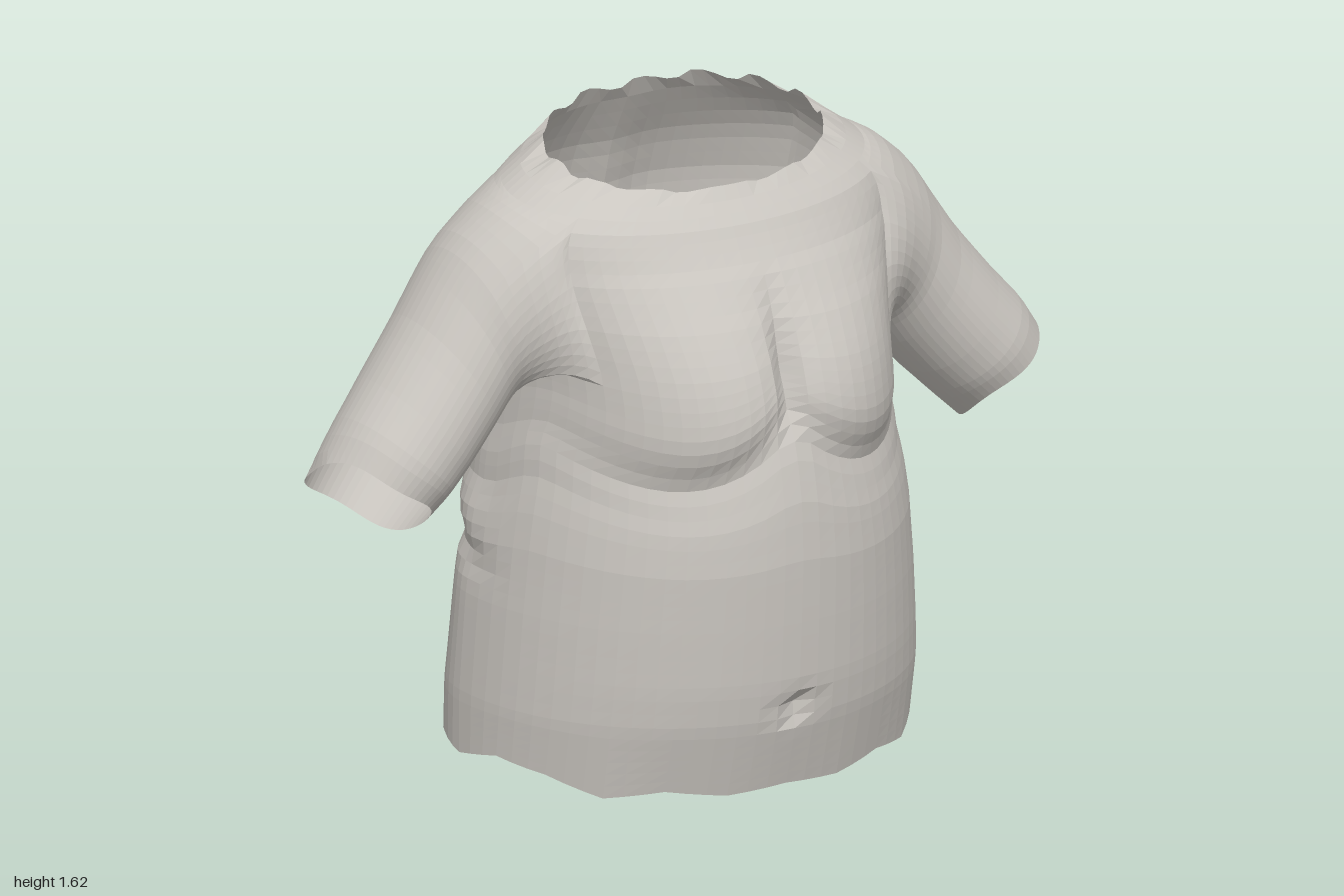
import * as THREE from 'three';

const skin = new THREE.MeshStandardMaterial({ color: 0xcac6c0, flatShading: true, side: THREE.DoubleSide });
skin.name = 'pale grey skin';

const { smoothstep, lerp } = THREE.MathUtils;
const bell = (d, w) => Math.exp(-((d / w) ** 2));

// Body stations: height, half width, front z, back z, backward tilt
const STATIONS = [
  [0.00, 0.60, 0.42, -0.51, 0], [0.20, 0.60, 0.47, -0.495, 0], [0.30, 0.593, 0.485, -0.475, 0],
  [0.45, 0.582, 0.495, -0.45, 0], [0.60, 0.565, 0.503, -0.44, 0], [0.70, 0.545, 0.497, -0.45, 0],
  [0.80, 0.525, 0.47, -0.455, 0], [0.88, 0.505, 0.425, -0.46, 0], [1.00, 0.495, 0.405, -0.47, 0],
  [1.10, 0.50, 0.39, -0.48, 0], [1.20, 0.52, 0.365, -0.485, 0], [1.30, 0.54, 0.325, -0.47, 0],
  [1.40, 0.54, 0.27, -0.425, 0.05], [1.45, 0.52, 0.25, -0.385, 0.10], [1.50, 0.47, 0.22, -0.345, 0.16],
  [1.555, 0.37, 0.185, -0.305, 0.24],
];

// Arm rings: upper x,y, lower x,y, centre z, half depth
const ARM = [
  [0.49, 1.49, 0.49, 1.06, -0.06, 0.23], [0.57, 1.45, 0.50, 1.03, -0.075, 0.23],
  [0.63, 1.385, 0.515, 0.99, -0.09, 0.215], [0.68, 1.31, 0.535, 0.955, -0.097, 0.205],
  [0.76, 1.19, 0.575, 0.90, -0.095, 0.20], [0.855, 1.07, 0.64, 0.825, -0.085, 0.195],
  [0.945, 0.965, 0.715, 0.75, -0.07, 0.182], [1.00, 0.88, 0.785, 0.685, -0.065, 0.165],
];

// Ragged hem heights from front centre round to back centre
const HEM = [0.025, 0.015, 0.035, 0.015, 0.06, 0.08, 0.05, 0.07, 0.065, 0.05, 0.01, 0.06, 0.0];

const ROWS = 44, COLS = 72;
// Shoulder opening in the body grid; the arm is sewn to its border
const R0 = 30, R1 = 42, C0 = 11, C1 = 25;

function sample(table, t) {
  const i = Math.min(Math.floor(t), table.length - 2);
  return table[i].map((v, k) => lerp(v, table[i + 1][k], t - i));
}

function stationAt(y) {
  let i = 0;
  while (i < STATIONS.length - 2 && STATIONS[i + 1][0] < y) i++;
  return sample(STATIONS, i + (y - STATIONS[i][0]) / (STATIONS[i + 1][0] - STATIONS[i][0]));
}

// Closed-loop grid of rows; skip() leaves out faces to make openings
function loft(rows, cols, point, { flip = false, skip = () => false } = {}) {
  const pos = [], idx = [];
  for (let r = 0; r <= rows; r++) for (let c = 0; c < cols; c++) pos.push(...point(r, c));
  for (let r = 0; r < rows; r++) {
    for (let c = 0; c < cols; c++) {
      if (skip(r, c)) continue;
      const a = r * cols + c, b = r * cols + (c + 1) % cols, d = a + cols, e = b + cols;
      if (flip) idx.push(a, e, b, a, d, e);
      else idx.push(a, b, e, a, e, d);
    }
  }
  const g = new THREE.BufferGeometry();
  g.setAttribute('position', new THREE.Float32BufferAttribute(pos, 3));
  g.setIndex(idx);
  g.computeVertexNormals();
  return g;
}

// Breast depth by height: sharp fold at the bottom, soft slope on top
function breastProfile(v) {
  if (v < 0.84 || v > 1.34) return 0;
  if (v < 0.98) return Math.sqrt(1 - ((0.98 - v) / 0.14) ** 2);
  return Math.cos((v - 0.98) / 0.36 * Math.PI / 2) ** 1.5;
}

function bodyPoint(r, c) {
  const angle = (c / COLS) * Math.PI * 2;
  const v = (r / ROWS) * 1.555;
  const [, w, front, back, tilt] = stationAt(v);
  const s = Math.sin(angle), k = Math.cos(angle);
  // The body is widest behind the middle: a deep front half, a shallow back half
  const zWide = lerp(-0.12, -0.06, smoothstep(v, 1.0, 1.5));
  let x = w * s, y = v, z = zWide + k * (k > 0 ? front - zWide : zWide - back);

  if (k > 0) {
    // Breasts; the rows near the fold bend up towards breastbone and armpit
    const across = Math.max(0, 1 - ((Math.abs(x) - 0.25) / 0.25) ** 2);
    z += 0.095 * breastProfile(v) * across ** 0.7;
    const curve = Math.min(0.11, 0.11 * ((Math.abs(x) - 0.28) / 0.25) ** 2);
    y += curve * bell(v - 0.85, 0.2) * smoothstep(k, 0, 0.4);
    // Cleavage and navel
    z -= 0.01 * bell(x, 0.03) * bell(v - 1.08, 0.12);
    z -= 0.03 * bell(x, 0.04) * bell(v - 0.235, 0.03);
  } else {
    // Spine groove, narrow at the bottom and softer higher up
    const up = smoothstep(v, 0.55, 0.8);
    z += lerp(0.055, 0.04, up) * bell(x, lerp(0.05, 0.085, up)) * (1 - 0.7 * smoothstep(v, 1.25, 1.55));
  }
  // Skin folds around the flanks and lower back
  const rear = smoothstep(-z, -0.05, 0.25);
  const yc = 0.53 + 0.2 * Math.max(0, -z) * Math.abs(s) + 0.04 * Math.max(0, -k);
  const fold = rear * (0.022 * bell(v - yc, 0.035) - 0.012 * bell(v - yc - 0.1, 0.06))
    + 0.008 * Math.abs(s) ** 3 * bell(v - 0.74, 0.04);
  x -= fold * s;
  z -= fold * k;

  // Tilted collar, ragged neck edge and ragged hem
  y -= tilt * (z - zWide);
  if (r === ROWS) y += [0.012, 0.012, -0.006, -0.006, 0.004][c % 5] * (k > 0.5 ? 0.4 : 1);
  if (v < 0.2) {
    const t = Math.min(c, COLS - c) / (COLS / 2) * (HEM.length - 1);
    const hem = sample(HEM.map((h) => [h]), t)[0];
    y = hem + v * (1 - hem / 0.2);
  }
  return [x, y, z];
}

// Border of the shoulder opening, from top middle forwards, down and round
function shoulderBorder() {
  const mid = (C0 + C1) / 2, border = [];
  for (let c = mid; c > C0; c--) border.push([R1, c]);
  for (let r = R1; r > R0; r--) border.push([r, C0]);
  for (let c = C0; c < C1; c++) border.push([R0, c]);
  for (let r = R0; r < R1; r++) border.push([r, C1]);
  for (let c = C1; c > mid; c--) border.push([R1, c]);
  return border.map(([r, c]) => bodyPoint(r, c));
}

function armGeometry(side) {
  const rows = 18, border = shoulderBorder(), cols = border.length;
  return loft(rows, cols, (r, c) => {
    const t = (r / rows) * (ARM.length - 1);
    const [ux, uy, lx, ly, zc, zr] = sample(ARM, t);
    const a = (c / cols) * Math.PI * 2, k = Math.cos(a);
    // Cuff cut shorter at the front and slightly uneven
    const cut = Math.max(0, t - 5.5) / 1.5 * (0.055 * Math.sin(a) + 0.012 * Math.sin(a * 3 + 1));
    const tube = [
      Math.min(1, (ux + lx) / 2 + (ux - lx) / 2 * k - cut * 0.64),
      (uy + ly) / 2 + (uy - ly) / 2 * k + cut * 0.77,
      zc + zr * Math.sin(a),
    ];
    // Shoulder flows from the opening into the round arm
    const blend = Math.max(0, 1 - t / 2.5) ** 1.6;
    const [x, y, z] = tube.map((p, i) => lerp(p, border[c][i], blend));
    return [side * x, y, z];
  }, { flip: side < 0 });
}

export function createModel() {
  const model = new THREE.Group();
  model.name = 'torso';
  const add = (name, geometry) => {
    const mesh = new THREE.Mesh(geometry, skin);
    mesh.name = name;
    model.add(mesh);
  };
  const opening = (r, c) => r >= R0 && r < R1
    && ((c >= C0 && c < C1) || (c >= COLS - C1 && c < COLS - C0));
  add('body', loft(ROWS, COLS, bodyPoint, { skip: opening }));
  add('leftArm', armGeometry(1));
  add('rightArm', armGeometry(-1));
  return model;
}
